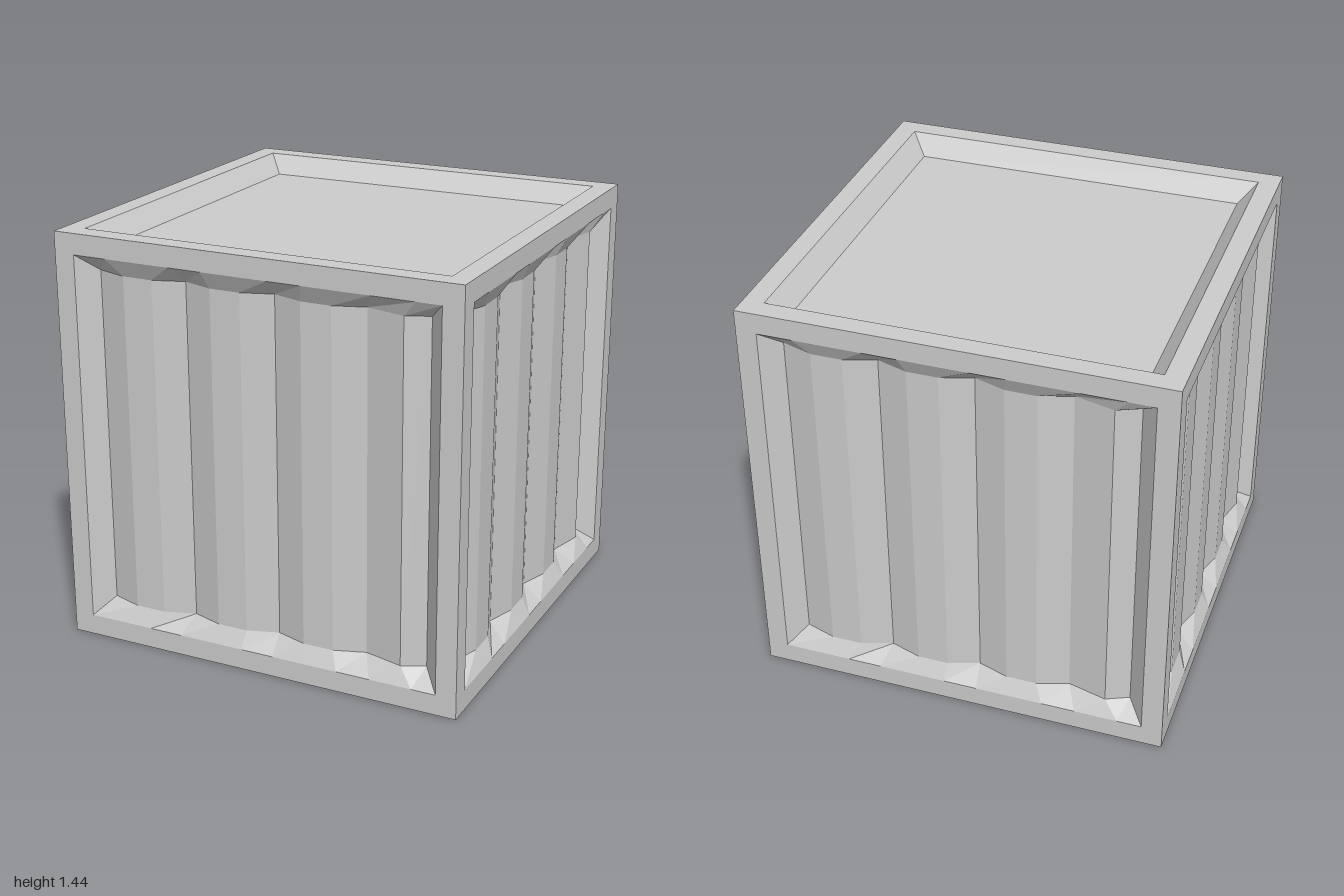
import * as THREE from 'three';

const HALF = 0.721;   // half the cube's edge
const OPEN = 0.649;   // half width of the opening inside each frame
const FLOOR = 0.59;   // half width of the recessed panel
const DEEP = 0.065, RIDGE = 0.03;

const material = new THREE.MeshStandardMaterial({ color: 0xcccccc, flatShading: true });

// Flat square border around one face, facing +z
function frameGeometry() {
  const square = (C, h) => new C([[-h, -h], [h, -h], [h, h], [-h, h]].map(([x, y]) => new THREE.Vector2(x, y)));
  const shape = square(THREE.Shape, HALF);
  shape.holes.push(square(THREE.Path, OPEN));
  return new THREE.ShapeGeometry(shape);
}

// Recess from the opening down to a panel with the given [x, depth] cross-section
function recessGeometry(profile) {
  const pos = [];
  const quad = (a, b, c, d) => pos.push(...a, ...b, ...c, ...a, ...c, ...d);
  const k = OPEN / FLOOR;
  for (let i = 0; i < profile.length - 1; i++) {
    const [x0, d0] = profile[i], [x1, d1] = profile[i + 1];
    // panel strip
    quad([x0, -FLOOR, -d0], [x1, -FLOOR, -d1], [x1, FLOOR, -d1], [x0, FLOOR, -d0]);
    // sloped walls below and above the strip
    quad([x0 * k, -OPEN, 0], [x1 * k, -OPEN, 0], [x1, -FLOOR, -d1], [x0, -FLOOR, -d0]);
    quad([x0, FLOOR, -d0], [x1, FLOOR, -d1], [x1 * k, OPEN, 0], [x0 * k, OPEN, 0]);
  }
  // sloped walls at both ends
  const dl = profile[0][1], dr = profile[profile.length - 1][1];
  quad([-OPEN, -OPEN, 0], [-FLOOR, -FLOOR, -dl], [-FLOOR, FLOOR, -dl], [-OPEN, OPEN, 0]);
  quad([FLOOR, -FLOOR, -dr], [OPEN, -OPEN, 0], [OPEN, OPEN, 0], [FLOOR, FLOOR, -dr]);
  const g = new THREE.BufferGeometry();
  g.setAttribute('position', new THREE.Float32BufferAttribute(pos, 3));
  g.computeVertexNormals();
  return g;
}

// Corrugation: a valley every third point, a narrow last fold
function corrugatedProfile() {
  const step = (2 * FLOOR) / 11, points = [];
  for (let i = 0; i < 10; i++) points.push([-FLOOR + i * step, i % 3 === 0 ? DEEP : RIDGE]);
  points.push([0.512, RIDGE], [FLOOR, DEEP]);
  return points;
}

function face(name, profile, rx, ry) {
  const outer = new THREE.Group();
  outer.name = name;
  outer.rotation.set(rx, ry, 0);
  const add = (part, geometry) => {
    const m = new THREE.Mesh(geometry, material);
    m.name = part;
    m.position.z = HALF;
    outer.add(m);
  };
  add('frame', frameGeometry());
  add('recessedPanel', recessGeometry(profile));
  return outer;
}

export function createModel() {
  const model = new THREE.Group();
  model.name = 'crate';
  const crate = new THREE.Group();
  crate.name = 'crateBody';
  crate.position.y = HALF;
  crate.rotation.y = -Math.atan2(0.8, 1.2);

  // Four corrugated sides
  const ribs = corrugatedProfile();
  ['frontSide', 'leftSide', 'backSide', 'rightSide'].forEach((name, i) =>
    crate.add(face(name, ribs, 0, i * Math.PI / 2)));

  // Plain lid and base
  const plain = [[-FLOOR, DEEP], [FLOOR, DEEP]];
  crate.add(face('lid', plain, -Math.PI / 2, 0));
  crate.add(face('base', plain, Math.PI / 2, 0));

  model.add(crate);
  return model;
}
